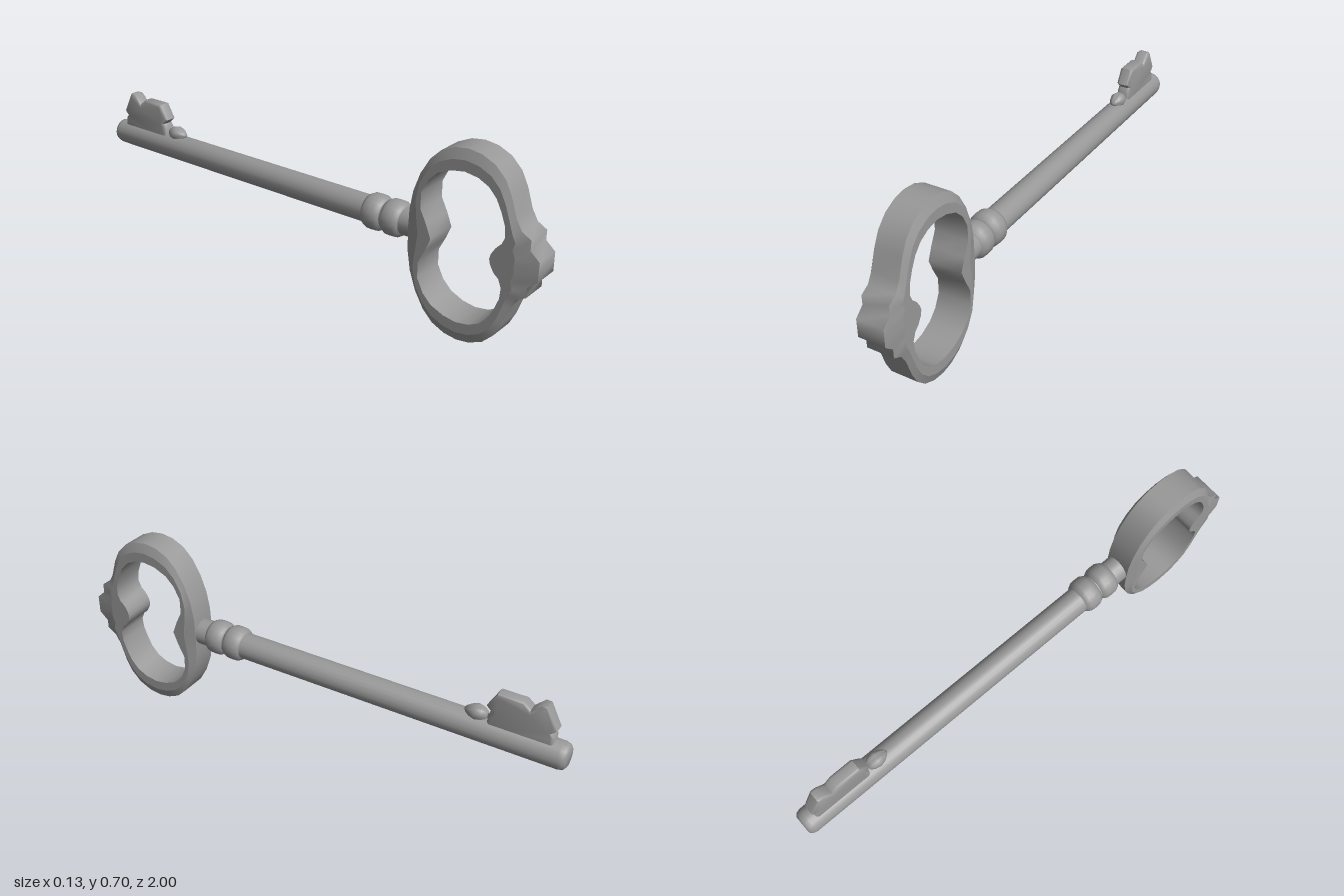
import * as THREE from 'three';
import { toCreasedNormals } from 'three/addons/utils/BufferGeometryUtils.js';

const AXIS_Y = 0.35;
const material = new THREE.MeshStandardMaterial({ color: 0x989898, side: THREE.DoubleSide });

// Upper half of the bow, from stem to crest: outer z, outer y, inner z, inner y (y from the axis)
const BOW = [
  [0.505, 0, 0.605, 0], [0.508, 0.08, 0.585, 0.05], [0.52, 0.15, 0.56, 0.1],
  [0.545, 0.22, 0.56, 0.16], [0.58, 0.28, 0.585, 0.21], [0.62, 0.32, 0.62, 0.245],
  [0.67, 0.343, 0.67, 0.267], [0.72, 0.35, 0.72, 0.275], [0.77, 0.343, 0.77, 0.267],
  [0.82, 0.32, 0.81, 0.247], [0.86, 0.28, 0.84, 0.215], [0.885, 0.23, 0.86, 0.175],
  [0.908, 0.16, 0.877, 0.13], [0.93, 0.122, 0.88, 0.09], [0.965, 0.102, 0.868, 0.06],
  [0.965, 0.066, 0.85, 0.045], [1, 0.035, 0.835, 0.02], [1, 0, 0.83, 0],
];

// Ring of bands, each smooth along the loop and sharp against its neighbours
function bowGeometry() {
  const lower = BOW.slice(1, -1).reverse().map(([a, b, c, d]) => [a, -b, c, -d]);
  const loop = [...BOW, ...lower];
  const n = loop.length;
  // Cross-section: [blend from outer to inner edge, half thickness]
  const section = [[0, -0.052], [0, 0.052], [0.48, 0.066], [1, 0.066], [1, -0.066], [0.48, -0.066]];
  const positions = [];
  const index = [];
  section.forEach((from, j) => {
    const edges = [from, section[(j + 1) % section.length]];
    const start = j * n * 2;
    loop.forEach(([oz, oy, iz, iy], i) => {
      for (const [t, x] of edges) {
        positions.push(x, AXIS_Y + oy + (iy - oy) * t, oz + (iz - oz) * t);
      }
      const a = start + i * 2, b = start + ((i + 1) % n) * 2;
      index.push(a, b, a + 1, b, b + 1, a + 1);
    });
  });
  const geometry = new THREE.BufferGeometry();
  geometry.setAttribute('position', new THREE.Float32BufferAttribute(positions, 3));
  geometry.setIndex(index);
  geometry.computeVertexNormals();
  return geometry;
}

// Turned part along z from [radius, z] pairs
function turned(profile, y, crease) {
  const geometry = new THREE.LatheGeometry(profile.map(([r, z]) => new THREE.Vector2(r, z)), 20);
  geometry.rotateX(Math.PI / 2);
  geometry.translate(0, y, 0);
  return toCreasedNormals(geometry, crease);
}

export function createModel() {
  const key = new THREE.Group();
  key.name = 'key';
  const add = (name, geometry) => {
    const mesh = new THREE.Mesh(geometry, material);
    mesh.name = name;
    key.add(mesh);
  };
  const shaftY = AXIS_Y + 0.003;

  add('bow', bowGeometry());

  // Straight shaft with a rounded tip
  add('shaft', turned([[0, -1], [0.036, -1], [0.046, -0.992], [0.051, -0.975], [0.051, 0.53], [0, 0.53]], shaftY, 0.9));

  // Two collar beads behind the bow
  [0.341, 0.422].forEach((z, i) => {
    const bead = [[0.046, -0.041], [0.058, -0.035], [0.066, -0.02], [0.067, 0],
      [0.066, 0.02], [0.058, 0.035], [0.046, 0.041]];
    add('collar' + (i + 1), turned(bead.map(([r, dz]) => [r, z + dz]), shaftY, 0.9));
  });

  // Two-toothed bit with undercut sides and softened edges
  const outline = [[-0.72, 0.38], [-0.72, 0.422], [-0.737, 0.445], [-0.716, 0.466], [-0.742, 0.511],
    [-0.825, 0.511], [-0.855, 0.486], [-0.893, 0.524], [-0.903, 0.524], [-0.938, 0.456],
    [-0.92, 0.438], [-0.935, 0.42], [-0.935, 0.38]];
  const bevel = 0.012;
  const bit = new THREE.ExtrudeGeometry(new THREE.Shape(outline.map(([z, y]) => new THREE.Vector2(z, y))), {
    depth: 0.03, bevelThickness: bevel, bevelSize: bevel, bevelSegments: 3,
  });
  bit.translate(0, 0, -0.015);
  bit.rotateY(-Math.PI / 2);
  add('bit', toCreasedNormals(bit, 0.9));

  // Small tapered bud in front of the bit
  add('bud', turned([[0, -0.703], [0.016, -0.7], [0.026, -0.685], [0.031, -0.662],
    [0.024, -0.64], [0.012, -0.622], [0, -0.615]], 0.41, 0.9));

  return key;
}
